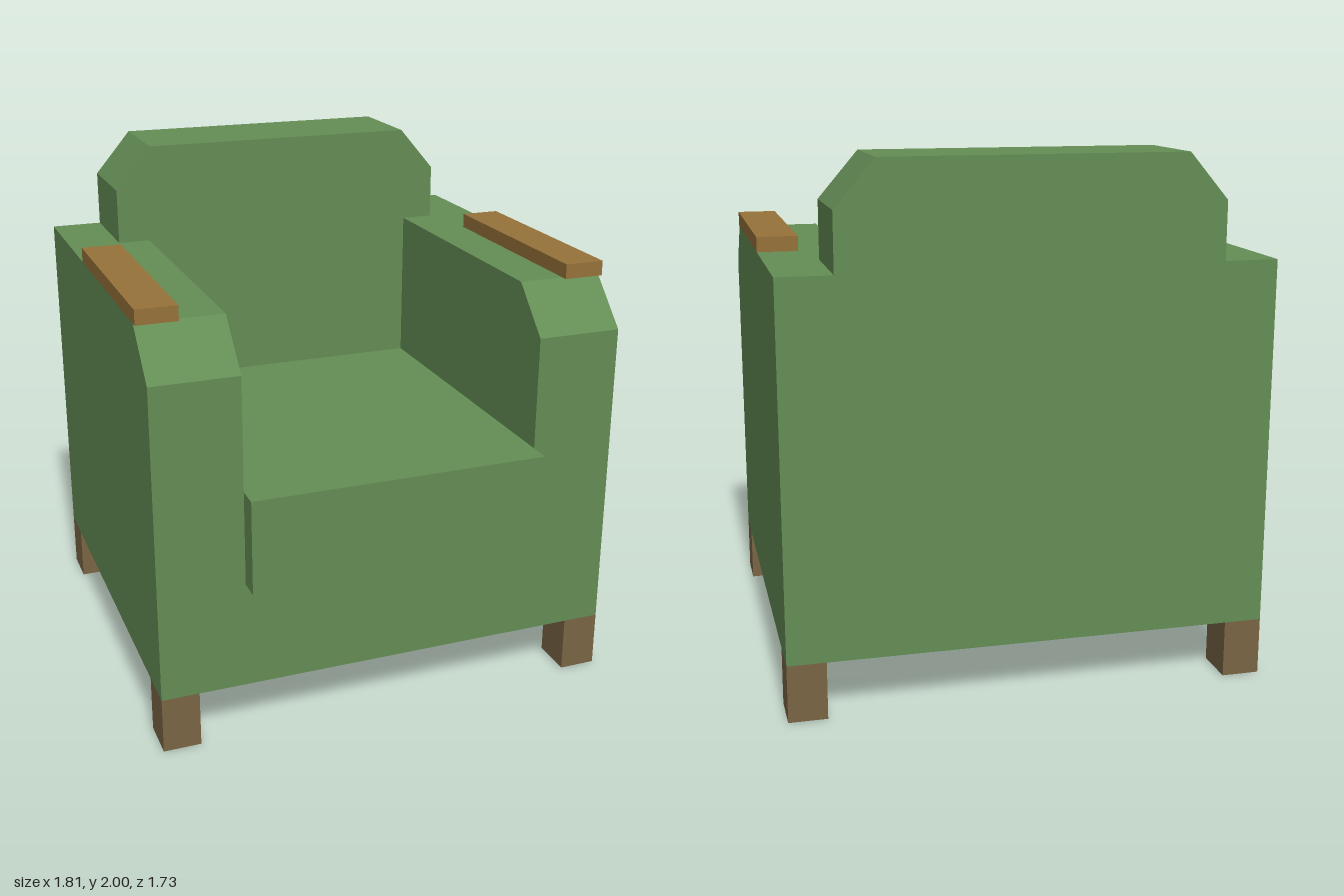
import * as THREE from 'three';

const fabric = new THREE.MeshStandardMaterial({ color: 0x648d55 });
const wood = new THREE.MeshStandardMaterial({ color: 0x96723a });
const darkWood = new THREE.MeshStandardMaterial({ color: 0x7a6444 });

// Box given by its minimum and maximum corners
function block(name, material, [x0, y0, z0], [x1, y1, z1]) {
  const geometry = new THREE.BoxGeometry(x1 - x0, y1 - y0, z1 - z0);
  geometry.translate((x0 + x1) / 2, (y0 + y1) / 2, (z0 + z1) / 2);
  const mesh = new THREE.Mesh(geometry, material);
  mesh.name = name;
  return mesh;
}

function extrude(points, depth) {
  const shape = new THREE.Shape(points.map(([x, y]) => new THREE.Vector2(x, y)));
  return new THREE.ExtrudeGeometry(shape, { depth, bevelEnabled: false });
}

export function createModel() {
  const chair = new THREE.Group();
  chair.name = 'armchair';

  const inner = 0.577, outer = 0.907;
  const front = 0.782, back = -0.867, backFace = -0.487;
  const bottom = 0.218, seatBase = 0.635, armTop = 1.61;

  // Seat base and protruding cushion between the arms
  chair.add(block('seatBase', fabric, [-inner, bottom, back], [inner, seatBase, front]));
  chair.add(block('seatCushion', fabric, [-inner, seatBase, backFace], [inner, 1.0, 0.867]));

  // Backrest: narrow between the arms, wider above them, with cut top corners
  const half = [[inner, seatBase], [inner, armTop], [0.705, armTop], [0.705, 1.828], [0.558, 2]];
  const outline = [...half, ...half.map(([x, y]) => [-x, y]).reverse()];
  const backrest = new THREE.Mesh(extrude(outline, backFace - back), fabric);
  backrest.name = 'backrest';
  backrest.position.z = back;
  chair.add(backrest);

  // Arm side profile in (-z, y), sloped at the front top, extruded along x
  const profile = [[-front, bottom], [-back, bottom], [-back, armTop], [-0.612, armTop], [-front, 1.437]];
  const armGeometry = extrude(profile, outer - inner).rotateY(Math.PI / 2);

  for (const [side, s] of [['left', 1], ['right', -1]]) {
    const arm = new THREE.Mesh(armGeometry, fabric);
    arm.name = side + 'Arm';
    arm.position.x = s > 0 ? inner : -outer;
    chair.add(arm);

    // Mirrored x range for the wooden parts
    const span = (a, b) => (s > 0 ? [a, b] : [-b, -a]);

    // Wooden slat on the arm
    const [sx0, sx1] = span(0.752, outer);
    chair.add(block(side + 'ArmSlat', wood, [sx0, armTop, -0.242], [sx1, 1.667, 0.64]));

    // Square legs flush with the corners
    const [lx0, lx1] = span(0.763, outer);
    chair.add(block(side + 'FrontLeg', darkWood, [lx0, 0, 0.618], [lx1, bottom, front]));
    chair.add(block(side + 'BackLeg', darkWood, [lx0, 0, back], [lx1, bottom, -0.702]));
  }
  return chair;
}
